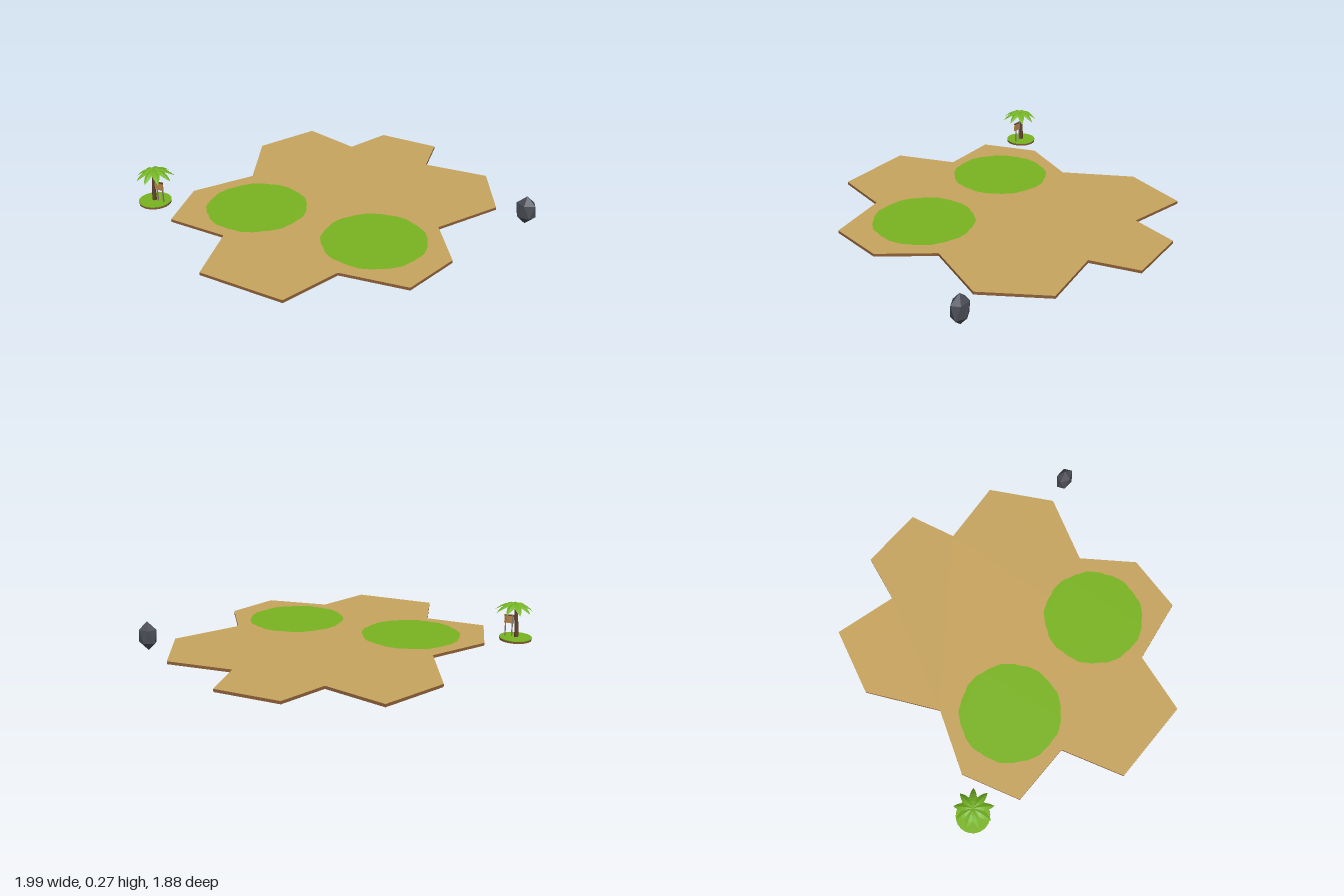
import * as THREE from 'three';

const mat = (name, color, extra = {}) =>
  Object.assign(new THREE.MeshStandardMaterial({ color, ...extra }), { name });

export function createModel() {
  const sand = mat('sand', 0xc8a55f);
  const earth = mat('earth brown', 0x8c6038);
  const grass = mat('grass green', 0x7ab520);
  const leaf = mat('leaf green', 0x74b324, { side: THREE.DoubleSide, flatShading: true });
  const bark = mat('bark', 0x64432b);
  const rock = mat('slate grey', 0x4b4d57, { flatShading: true });
  const wood = mat('sign wood', 0xb98848);
  const post = mat('post grey', 0x8a7c6e);

  const model = new THREE.Group();
  const add = (parent, name, geometry, material, x = 0, y = 0, z = 0) => {
    const mesh = new THREE.Mesh(geometry, material);
    mesh.name = name;
    mesh.position.set(x, y, z);
    parent.add(mesh);
    return mesh;
  };
  const BASE = 0.061, TOP = 0.0765;

  // Main platform: outline as x, z corners
  const outline = [
    [-0.19, -0.945], [0.17, -0.945], [0.23, -0.68], [0.6, -0.715], [0.785, -0.38], [0.595, -0.025],
    [0.785, 0.24], [0.705, 0.56], [0.345, 0.615], [0.235, 0.94], [-0.24, 0.94], [-0.345, 0.6],
    [-0.69, 0.6], [-0.785, 0.28], [-0.6, -0.04], [-0.785, -0.42], [-0.63, -0.775], [-0.285, -0.685],
  ];
  const shape = new THREE.Shape(outline.map(([x, z]) => new THREE.Vector2(x, -z)));
  const slab = new THREE.ExtrudeGeometry(shape, { depth: TOP - BASE, bevelEnabled: false });
  add(model, 'platformSlab', slab.rotateX(-Math.PI / 2), earth, 0, BASE, 0);
  add(model, 'platformTop', new THREE.ShapeGeometry(shape).rotateX(-Math.PI / 2), sand, 0, TOP + 0.0006, 0);

  // Two grass patches with a slightly ragged edge
  [-0.365, 0.36].forEach((x, k) => {
    const rim = [];
    for (let i = 0; i < 72; i++) {
      const a = (i / 72) * Math.PI * 2;
      const r = 0.276 + 0.003 * Math.sin(9 * a + k) + 0.002 * Math.sin(23 * a + 2 * k);
      rim.push(new THREE.Vector2(r * Math.cos(a), r * Math.sin(a)));
    }
    const patch = new THREE.ShapeGeometry(new THREE.Shape(rim)).rotateX(-Math.PI / 2);
    add(model, 'grassPatch', patch, grass, x, TOP + 0.002, 0.26);
  });

  // Small round islet
  const islet = new THREE.Group();
  islet.name = 'islet';
  islet.position.set(-0.91, 0, 0.467);
  model.add(islet);
  add(islet, 'isletSoil', new THREE.CylinderGeometry(0.09, 0.088, TOP - BASE - 0.004, 32), earth, 0, (BASE + TOP - 0.004) / 2, 0);
  add(islet, 'isletGrass', new THREE.CylinderGeometry(0.09, 0.09, 0.004, 32), grass, 0, TOP - 0.002, 0);

  // Palm trunk with a gentle lean, tapering upward
  const trunk = new THREE.CylinderGeometry(0.008, 0.012, 0.19, 8, 6);
  const tp = trunk.attributes.position;
  for (let i = 0; i < tp.count; i++) {
    const t = tp.getY(i) / 0.19 + 0.5;
    tp.setX(i, tp.getX(i) + 0.016 * t * t);
  }
  trunk.computeVertexNormals();
  add(islet, 'palmTrunk', trunk, bark, -0.004, TOP + 0.093, 0);

  // Arched, folded palm fronds
  const frondGeometry = (length) => {
    const rows = 7, pos = [], index = [];
    for (let i = 0; i < rows; i++) {
      const t = i / (rows - 1);
      const w = 0.02 * Math.pow(Math.sin(Math.PI * (0.12 + 0.88 * t)), 0.8) + 0.0002;
      const y = 0.03 * t - 0.075 * t * t;
      for (const s of [-1, 0, 1]) pos.push(length * t, y - Math.abs(s) * w * 0.4, s * w);
    }
    for (let i = 0; i < rows - 1; i++) {
      for (let j = 0; j < 2; j++) {
        const a = i * 3 + j;
        index.push(a, a + 1, a + 3, a + 1, a + 4, a + 3);
      }
    }
    const g = new THREE.BufferGeometry();
    g.setAttribute('position', new THREE.Float32BufferAttribute(pos, 3));
    g.setIndex(index);
    g.computeVertexNormals();
    return g;
  };
  for (let i = 0; i < 9; i++) {
    const a = (i / 9) * Math.PI * 2;
    const frond = add(islet, 'palmFrond', frondGeometry(0.105 + 0.006 * Math.cos(a)), leaf, 0.012, 0.266, 0);
    frond.rotation.y = a;
  }

  // Wooden sign beside the palm
  for (const x of [0.022, 0.06]) {
    add(islet, 'signPost', new THREE.BoxGeometry(0.006, 0.125, 0.006), post, x, TOP + 0.0615, 0);
  }
  add(islet, 'signBoard', new THREE.BoxGeometry(0.054, 0.042, 0.008), wood, 0.041, 0.171, 0.004);
  add(islet, 'signRail', new THREE.BoxGeometry(0.054, 0.006, 0.009), bark, 0.041, 0.195, 0.004);

  // Tall faceted boulder, point upward
  const boulder = new THREE.IcosahedronGeometry(1, 0);
  boulder.rotateZ(Math.atan(2 / (1 + Math.sqrt(5)))).rotateY(0.3).scale(0.063, 0.084, 0.045);
  add(model, 'boulder', boulder, rock, 0.941, 0.084, -0.42);

  return model;
}
